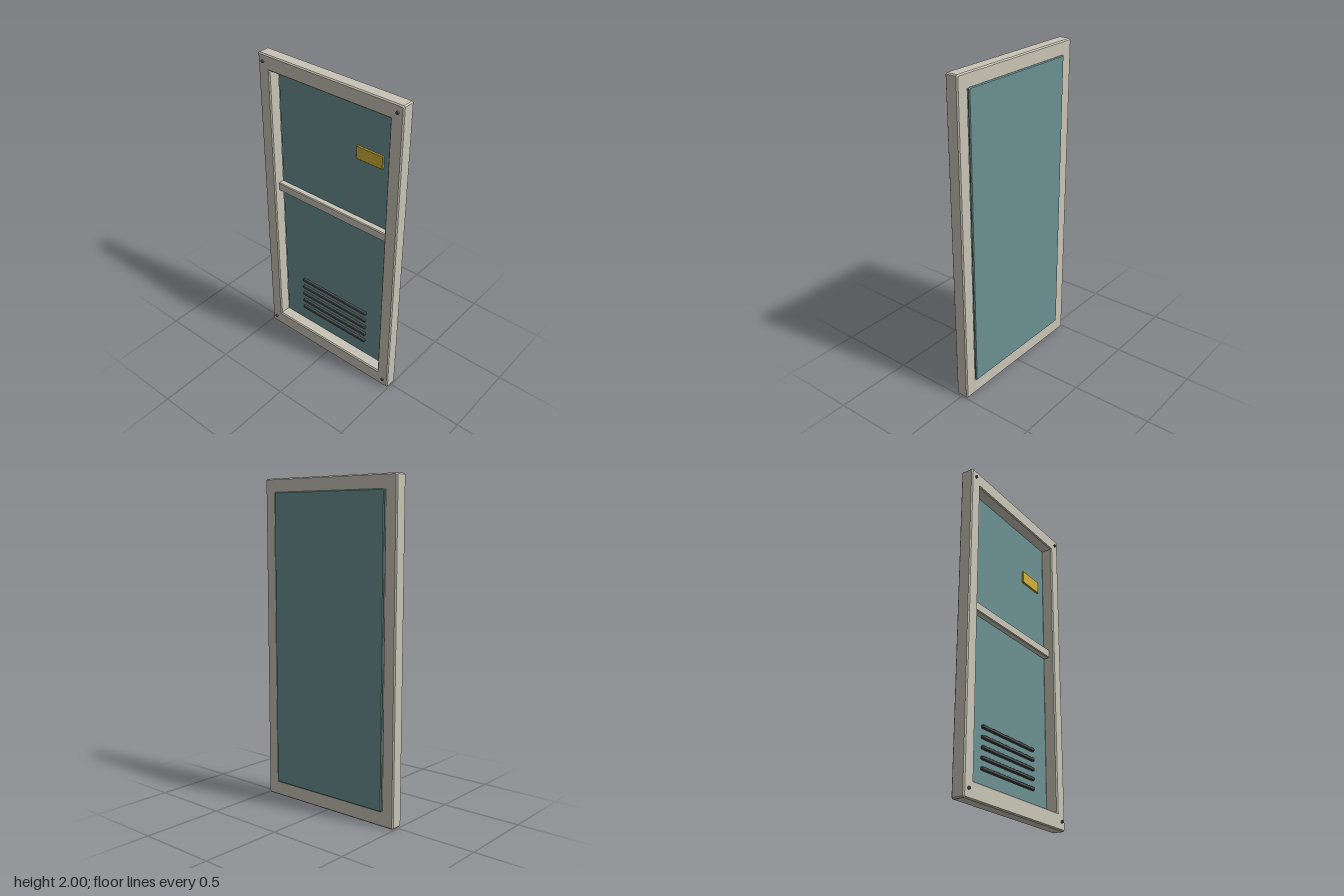
import * as THREE from 'three';

const paint = (color) => new THREE.MeshStandardMaterial({ color });

// Corner points of a rectangle with cut corners
function cutRect(x0, x1, y0, y1, c) {
  return [
    [x0 + c, y0], [x1 - c, y0], [x1, y0 + c], [x1, y1 - c],
    [x1 - c, y1], [x0 + c, y1], [x0, y1 - c], [x0, y0 + c],
  ].map(([x, y]) => new THREE.Vector2(x, y));
}

// Chamfered plate between z0 and z1
function plate(shape, z0, z1, bevel) {
  const geometry = new THREE.ExtrudeGeometry(shape, {
    depth: z1 - z0 - 2 * bevel,
    bevelEnabled: true,
    bevelThickness: bevel,
    bevelSize: bevel,
    bevelOffset: -bevel,
    bevelSegments: 1,
  });
  return geometry.translate(0, 0, z0 + bevel);
}

export function createModel() {
  const model = new THREE.Group();
  model.name = 'lockerDoor';
  const cream = paint(0xc8c4b6);
  const teal = paint(0x6b9091);
  const dark = paint(0x55575a);
  const yellow = paint(0xd0b038);

  const add = (name, geometry, material) => {
    const mesh = new THREE.Mesh(geometry, material);
    mesh.name = name;
    model.add(mesh);
    return mesh;
  };
  const block = (name, x0, x1, y0, y1, z0, z1, bevel, material) =>
    add(name, plate(new THREE.Shape(cutRect(x0, x1, y0, y1, bevel)), z0, z1, bevel), material);

  // Outer frame with one tall opening
  const outline = new THREE.Shape(cutRect(-0.495, 0.495, 0, 2, 0.007));
  const opening = [[-0.414, 0.1], [-0.414, 1.907], [0.414, 1.907], [0.414, 0.1]];
  outline.holes.push(new THREE.Path(opening.map(([x, y]) => new THREE.Vector2(x, y))));
  add('frame', plate(outline, -0.042, 0.039, 0.007), cream);

  // Thin panel closing the back of the opening
  block('backPanel', -0.415, 0.415, 0.09, 1.918, -0.05, -0.034, 0.005, teal);

  // Set-back bar dividing the opening
  block('crossRail', -0.418, 0.418, 1.1, 1.157, -0.038, 0.004, 0.005, cream);

  // Name plate on the upper panel
  block('labelPlate', 0.157, 0.337, 1.545, 1.625, -0.037, -0.022, 0.002, yellow);

  // Row of vent slats on the lower panel
  for (let i = 0; i < 5; i++) {
    const y = 0.213 + i * 0.0585;
    block('ventSlat', -0.26, 0.258, y - 0.01, y + 0.01, -0.037, -0.016, 0.004, dark);
  }

  // Corner screws
  for (const x of [-0.458, 0.458]) {
    for (const y of [0.053, 1.955]) {
      const screw = add('screw', new THREE.CylinderGeometry(0.009, 0.009, 0.015, 12), dark);
      screw.rotation.x = Math.PI / 2;
      screw.position.set(x, y, 0.041);
    }
  }

  return model;
}
